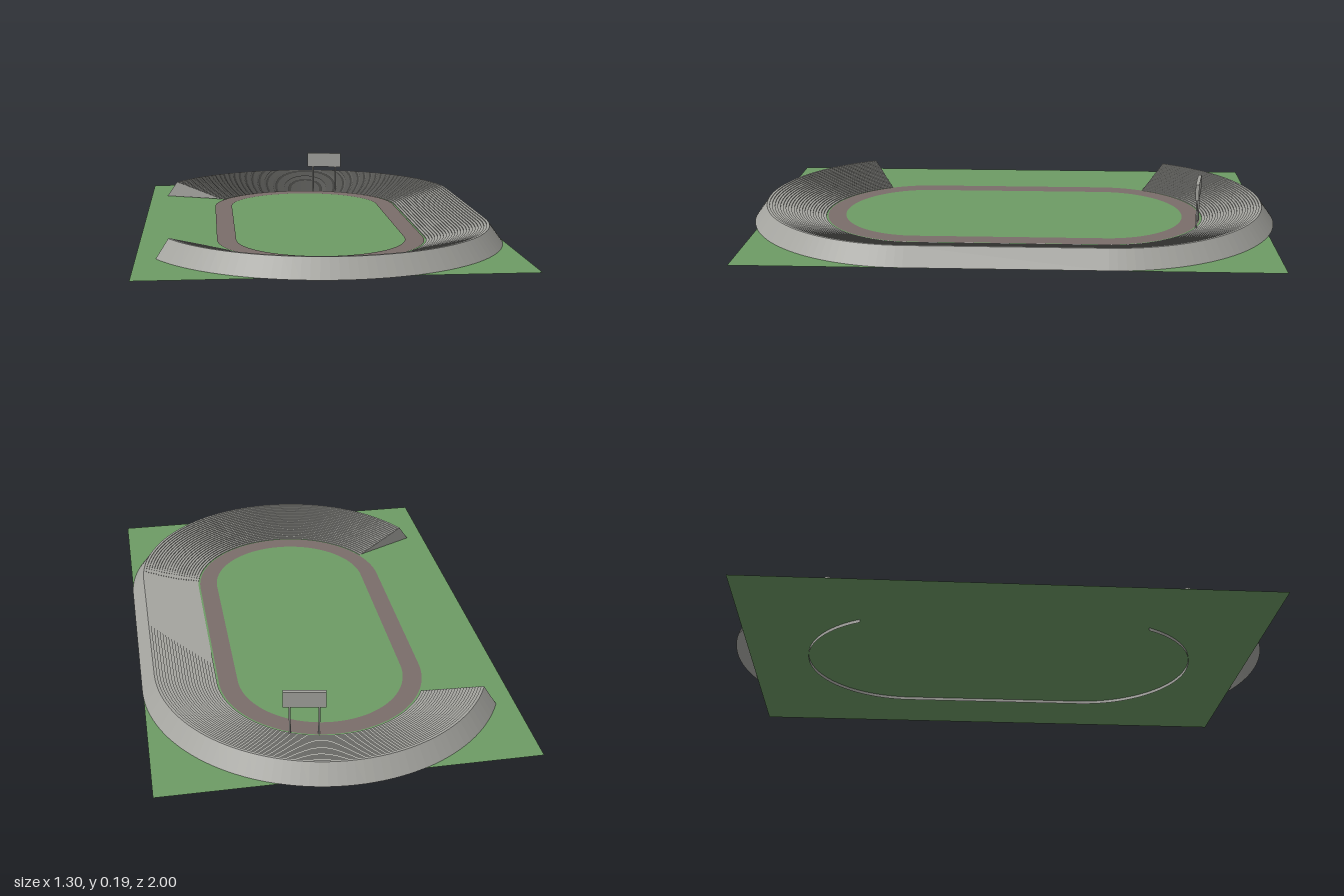
import * as THREE from 'three';

const CZ = 0.35;              // distance of the bend centres from the middle
const GROUND = 0.012;
const END = THREE.MathUtils.degToRad(27);

// Oval outline made of two half circles joined by straights
function oval(path, r) {
  path.absarc(0, CZ, r, 0, Math.PI, false);
  path.absarc(0, -CZ, r, Math.PI, Math.PI * 2, false);
  path.closePath();
  return path;
}

// Path of the stand: back bend, +x straight, front bend
function standPath(segments) {
  const path = [];
  for (let i = 0; i <= segments; i++) {
    path.push({ a: Math.PI + END + (Math.PI - END) * i / segments, z: -CZ });
  }
  for (let i = 0; i <= segments; i++) {
    path.push({ a: (Math.PI - END) * i / segments, z: CZ });
  }
  return path;
}

// Stepped cross-section: inner wall, seat rows, sloping outer wall
function standProfile(rows) {
  const profile = [[0.38, 0]];
  const r0 = 0.38, r1 = 0.603, y0 = 0.015, y1 = 0.077;
  for (let i = 0; i < rows; i++) {
    const y = y0 + (y1 - y0) * i / (rows - 1);
    profile.push([r0 + (r1 - r0) * i / rows, y], [r0 + (r1 - r0) * (i + 1) / rows, y]);
  }
  profile.push([0.65, 0.013]);
  return profile;
}

function standGeometry() {
  const path = standPath(56), profile = standProfile(22);
  const positions = [];
  const point = (i, k) => {
    const { a, z } = path[i], [r, y] = profile[k];
    return [r * Math.cos(a), y, z + r * Math.sin(a)];
  };
  for (let i = 0; i < path.length - 1; i++) {
    for (let k = 0; k < profile.length - 1; k++) {
      const a = point(i, k), b = point(i + 1, k), c = point(i + 1, k + 1), d = point(i, k + 1);
      positions.push(...a, ...b, ...d, ...b, ...c, ...d);
    }
  }
  // End walls
  const outline = profile.slice(1).map(([r, y]) => new THREE.Vector2(r, y));
  const faces = THREE.ShapeUtils.triangulateShape(outline.slice().reverse(), []);
  const n = profile.length - 1;
  for (const [i, flip] of [[0, true], [path.length - 1, false]]) {
    for (const f of faces) {
      const tri = flip ? [f[0], f[2], f[1]] : f;
      for (const v of tri) positions.push(...point(i, n - v));
    }
  }
  const geometry = new THREE.BufferGeometry();
  geometry.setAttribute('position', new THREE.Float32BufferAttribute(positions, 3));
  geometry.computeVertexNormals();
  return geometry;
}

export function createModel() {
  const model = new THREE.Group();
  model.name = 'stadium';

  const material = (name, color) => {
    const m = new THREE.MeshStandardMaterial({ color, side: THREE.DoubleSide });
    m.name = name;
    return m;
  };
  const grass = material('grass green', 0x6d9c65);
  const clay = material('track brown', 0x7a6d6a);
  const concrete = material('concrete grey', 0xa4a49f);

  const add = (name, geometry, mat, parent = model) => {
    const mesh = new THREE.Mesh(geometry, mat);
    mesh.name = name;
    parent.add(mesh);
    return mesh;
  };

  // Lawn
  const lawn = add('lawn', new THREE.PlaneGeometry(1.295, 1.905).rotateX(-Math.PI / 2), grass);
  lawn.position.y = GROUND;

  // Running track
  const trackShape = oval(new THREE.Shape(), 0.373);
  trackShape.holes.push(oval(new THREE.Path(), 0.304));
  const track = add('runningTrack', new THREE.ShapeGeometry(trackShape, 48).rotateX(-Math.PI / 2), clay);
  track.position.y = GROUND + 0.0015;

  // Seating
  add('grandstand', standGeometry(), concrete);

  // Scoreboard, turned towards the field
  const scoreboard = new THREE.Group();
  scoreboard.name = 'scoreboard';
  scoreboard.position.set(0.118, 0, -0.702);
  scoreboard.rotation.y = -0.17;
  model.add(scoreboard);
  add('scoreboardPanel', new THREE.BoxGeometry(0.147, 0.061, 0.013), concrete, scoreboard).position.y = 0.157;
  for (const side of [-1, 1]) {
    const post = add('scoreboardPost', new THREE.CylinderGeometry(0.0035, 0.0035, 0.118, 10), concrete, scoreboard);
    post.position.set(side * 0.05, 0.071, 0);
  }
  return model;
}
